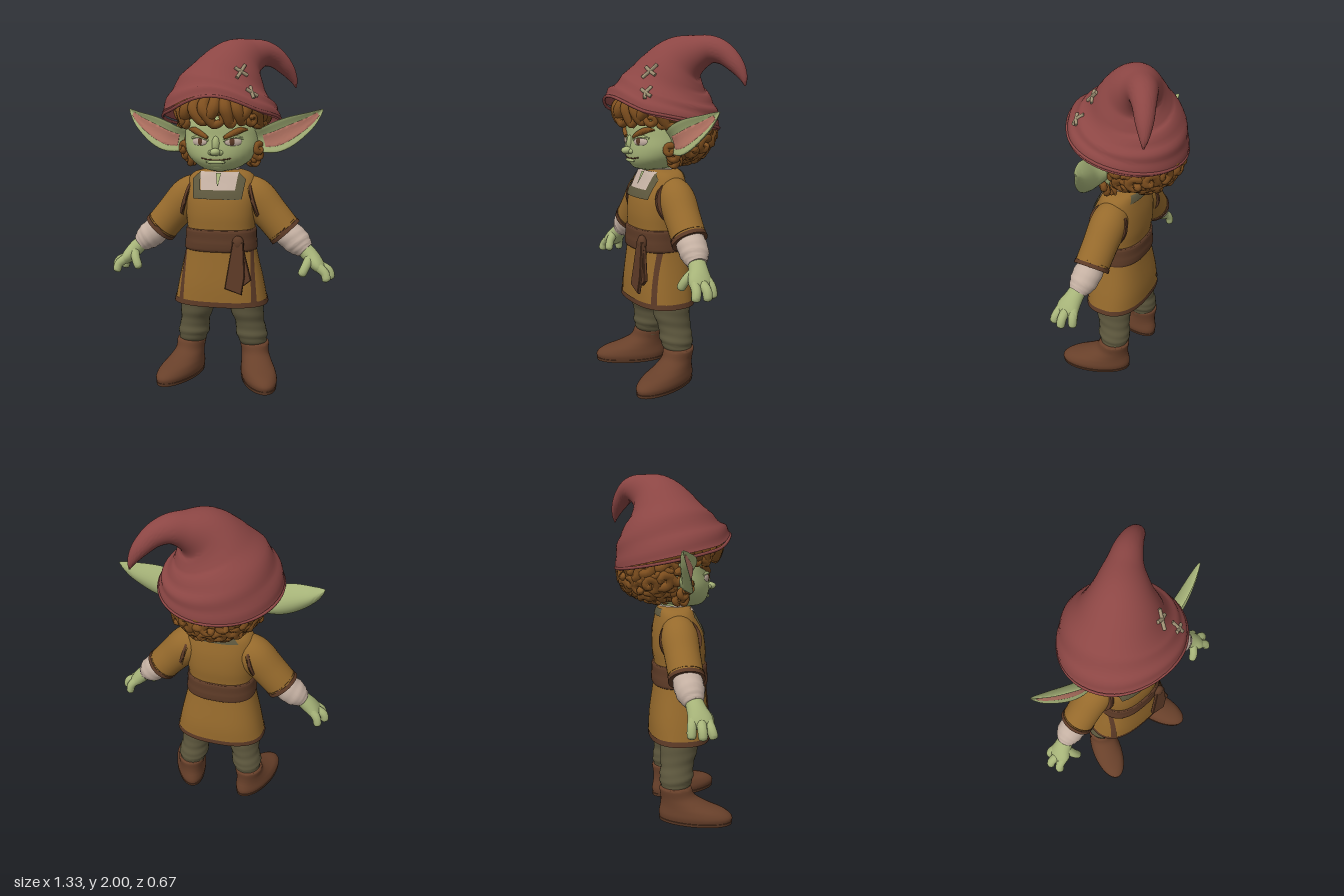
import * as THREE from 'three';
import { toCreasedNormals } from 'three/addons/utils/BufferGeometryUtils.js';

const V = (x, y, z) => new THREE.Vector3(x, y, z);
const X = V(1, 0, 0), Y = V(0, 1, 0), Z = V(0, 0, 1);
const mat = (name, color, side = THREE.FrontSide) => {
  const m = new THREE.MeshStandardMaterial({ color, side });
  m.name = name;
  return m;
};
const round = a => [Math.cos(a), Math.sin(a)];
const boxy = a => round(a).map(c => Math.sign(c) * Math.abs(c) ** 0.8);

// Skin over cross-sections; each row is [x, y, z, radius along ref, other radius]; flat keeps rings level
function loft(rows, { seg = 20, steps = 24, ref = X, sec = round, cap = true, flat = false, bump = () => 1 } = {}) {
  const path = new THREE.CatmullRomCurve3(rows.map(r => V(r[0], r[1], r[2])), false, 'catmullrom');
  const radii = new THREE.CatmullRomCurve3(rows.map(r => V(r[3], r[4] ?? r[3], 0)), false, 'catmullrom');
  const pos = [], idx = [];
  let u = ref.clone();
  for (let i = 0; i <= steps; i++) {
    const k = i / steps, c = path.getPoint(k), t = flat ? Y : path.getTangent(k), r = radii.getPoint(k);
    u = u.clone().addScaledVector(t, -u.dot(t)).normalize();
    const v = t.clone().cross(u);
    for (let j = 0; j < seg; j++) {
      const a = j / seg * Math.PI * 2, [p, q] = sec(a), b = bump(k, a);
      const w = c.clone().addScaledVector(u, p * r.x * b).addScaledVector(v, q * r.y * b);
      pos.push(w.x, w.y, w.z);
      if (i < steps) {
        const n = (j + 1) % seg, A = i * seg;
        idx.push(A + j, A + n, A + seg + j, A + n, A + seg + n, A + seg + j);
      }
    }
  }
  if (cap) {
    const e = pos.length / 3, L = steps * seg;
    for (const k of [0, 1]) pos.push(...path.getPoint(k).toArray());
    for (let j = 0; j < seg; j++) {
      const n = (j + 1) % seg;
      idx.push(e, n, j, e + 1, L + j, L + n);
    }
  }
  const g = new THREE.BufferGeometry();
  g.setAttribute('position', new THREE.Float32BufferAttribute(pos, 3));
  g.setIndex(idx);
  return toCreasedNormals(g, 1.0);
}

const ray = new THREE.Raycaster();
function hit(target, x, y, dir = 1) {
  ray.set(V(x, y, 5 * dir), V(0, 0, -dir));
  const h = ray.intersectObject(target)[0];
  return h ? h.point.z : 0.08 * dir;
}
// Thin plate laid on a surface; corners: bottom left, bottom right, top right, top left
function drape(target, [a, b, c, d], off = 0.006, dir = 1, n = 8) {
  const g = new THREE.PlaneGeometry(1, 1, n, n), p = g.attributes.position;
  for (let i = 0; i < p.count; i++) {
    const u = p.getX(i) + 0.5, v = p.getY(i) + 0.5;
    const [x, y] = [0, 1].map(k => (a[k] * (1 - u) + b[k] * u) * (1 - v) + (d[k] * (1 - u) + c[k] * u) * v);
    p.setXYZ(i, x, y, hit(target, x, y, dir) + off * dir);
  }
  g.computeVertexNormals();
  return g;
}

export function createModel() {
  const D = THREE.DoubleSide;
  const hatRed = mat('hatRed', 0x8c4644, D), ochre = mat('tunicOchre', 0x966a2c, D);
  const brown = mat('trimBrown', 0x5c3a26, D), skin = mat('skinGreen', 0xa7b479);
  const cream = mat('shirtCream', 0xc4b0a2, D), hairC = mat('hairBrown', 0x80501f);
  const olive = mat('trouserOlive', 0x5e583e, D), boot = mat('bootLeather', 0x68402a);
  const pink = mat('innerEarPink', 0xc07c6a), thread = mat('threadBeige', 0x9f9174);
  const model = new THREE.Group();
  const add = (name, geo, m, parent = model) => {
    const o = new THREE.Mesh(geo, m);
    o.name = name;
    parent.add(o);
    return o;
  };
  const ball = (name, m, p, s, parent) => {
    const o = add(name, new THREE.SphereGeometry(1, 18, 12), m, parent);
    o.position.set(...p);
    o.scale.set(...s);
    return o;
  };

  // Tunic, hem and belt
  const cloth = { seg: 40, steps: 40, sec: boxy, cap: false, flat: true };
  const tunic = add('tunic', loft([
    [0, 0.47, 0.035, 0.275, 0.175], [0, 0.6, 0.035, 0.25, 0.172], [0, 0.8, 0.04, 0.205, 0.15],
    [0, 0.9, 0.04, 0.197, 0.148], [0, 1.0, 0.035, 0.205, 0.155], [0, 1.1, 0.028, 0.21, 0.145],
    [0, 1.185, 0.015, 0.2, 0.117], [0, 1.23, 0.01, 0.165, 0.1], [0, 1.25, 0.01, 0.1, 0.086]], cloth), ochre);
  add('hemTrim', loft([[0, 0.467, 0.035, 0.28, 0.18], [0, 0.497, 0.035, 0.274, 0.179]], { ...cloth, steps: 2 }), brown);
  add('belt', loft([[0, 0.785, 0.04, 0.205, 0.15], [0, 0.795, 0.04, 0.213, 0.162], [0, 0.83, 0.04, 0.211, 0.165],
    [0, 0.86, 0.04, 0.208, 0.162], [0, 0.905, 0.04, 0.206, 0.16], [0, 0.915, 0.04, 0.195, 0.147]], cloth), brown);
  for (const [name, pts, z] of [
    ['sashTailShort', [[0.1, 0.82], [0.15, 0.83], [0.2, 0.64], [0.165, 0.61]], 0.25],
    ['sashTailLong', [[0.1, 0.85], [0.155, 0.85], [0.165, 0.66], [0.15, 0.56], [0.06, 0.59]], 0.264]]) {
    const shape = new THREE.Shape(pts.map(p => new THREE.Vector2(...p)));
    const tail = add(name, new THREE.ExtrudeGeometry(shape, { depth: 0.014, bevelSize: 0.004, bevelThickness: 0.004, bevelSegments: 1 }), brown);
    tail.position.z = z;
    tail.rotation.x = -0.08;
  }
  ball('sashKnot', brown, [0.125, 0.845, 0.193], [0.034, 0.043, 0.026]);

  // Neckline and collar
  add('shirtFront', drape(tunic, [[-0.1, 1.135], [0.1, 1.135], [0.112, 1.24], [-0.112, 1.24]], 0.007), cream);
  add('necklineBottom', drape(tunic, [[-0.14, 1.09], [0.14, 1.09], [0.1, 1.14], [-0.1, 1.14]], 0.009), olive);
  add('necklineBack', drape(tunic, [[0.13, 1.2], [-0.13, 1.2], [-0.1, 1.24], [0.1, 1.24]], 0.006, -1), olive);
  add('collar', loft([[0, 1.2, 0.008, 0.125, 0.095], [0, 1.225, 0.01, 0.112, 0.093], [0, 1.257, 0.012, 0.104, 0.09]],
    { cap: false, flat: true }), cream);
  add('shirtNotch', drape(tunic, [[-0.003, 1.165], [0.003, 1.165], [0.015, 1.235], [-0.015, 1.235]], 0.016), skin);
  add('neck', loft([[0, 1.12, 0.01, 0.075], [0, 1.32, 0.015, 0.08]], { steps: 4 }), skin);

  // Head and face
  const head = add('head', loft([
    [0, 1.243, 0.08, 0.03, 0.04], [0, 1.262, 0.065, 0.105, 0.11], [0, 1.31, 0.04, 0.175, 0.168],
    [0, 1.37, 0.02, 0.212, 0.193], [0, 1.44, 0.01, 0.218, 0.195], [0, 1.52, 0, 0.212, 0.2],
    [0, 1.62, -0.01, 0.17, 0.165], [0, 1.69, -0.01, 0.05, 0.05]], { seg: 36, steps: 36, flat: true }), skin);
  ball('noseBridge', skin, [0, 1.4, 0.196], [0.024, 0.05, 0.028]);
  ball('noseTip', skin, [0, 1.36, 0.224], [0.029, 0.022, 0.034]);
  ball('chin', skin, [0, 1.277, 0.15], [0.06, 0.024, 0.036]);
  ball('lowerLip', skin, [0, 1.303, hit(head, 0, 1.303)], [0.055, 0.011, 0.01]);
  const mouth = [[-0.085, 1.325], [-0.05, 1.318], [0, 1.316], [0.05, 1.318], [0.085, 1.325]];
  add('mouth', loft(mouth.map(([x, y]) => [x, y, hit(head, x, y), 0.0035]), { ref: Z, seg: 8 }), brown);

  // Cupped ear section, top edge leaning forward; the pink lining follows the same hollow
  const hollow = v => 1.7 * v * v - 0.7 * v - 0.6;
  const earSec = s => a => [Math.cos(a) + hollow(s * Math.sin(a)), Math.sin(a)];
  const innerSec = s => a => {
    const v = 0.5 * Math.sin(a) + 0.08 * s;
    return [Math.sqrt(1 - v * v) + hollow(s * v) + 0.22 * Math.cos(a), v];
  };
  for (const s of [1, -1]) {
    const side = s > 0 ? 'left' : 'right';
    const g = new THREE.Group();
    g.name = side + 'Side';
    model.add(g);
    const part = (name, rows, m, opt = {}) =>
      add(side + name, loft(rows.map(([x, ...r]) => [x * s, ...r]), { ref: Z, ...opt }), m, g);

    // Eye and brow
    ball(side + 'Nostril', skin, [s * 0.026, 1.356, 0.206], [0.018, 0.015, 0.02], g);
    ball(side + 'Eye', cream, [s * 0.095, 1.415, hit(head, 0.095, 1.415) - 0.006], [0.05, 0.027, 0.014], g).rotation.y = s * 0.45;
    ball(side + 'Iris', brown, [s * 0.09, 1.416, hit(head, 0.09, 1.416) + 0.004], [0.018, 0.021, 0.007], g).rotation.y = s * 0.4;
    const onFace = (x, y, r, o = 0) => [x, y, hit(head, x, y) + o, r];
    part('UpperLid', [onFace(0.043, 1.422, 0.006), onFace(0.09, 1.443, 0.011, 0.002), onFace(0.146, 1.434, 0.006)], skin);
    part('Brow', [onFace(0.045, 1.437, 0.009, 0.004), onFace(0.08, 1.455, 0.016, 0.004),
      onFace(0.13, 1.479, 0.017, 0.003), onFace(0.168, 1.482, 0.004)], hairC);

    // Ear
    const ear = [[0.18, 1.415, 0.035, 0.02, 0.06], [0.25, 1.42, 0.045, 0.024, 0.072], [0.32, 1.437, 0.045, 0.025, 0.085],
      [0.4, 1.475, 0.028, 0.024, 0.078], [0.49, 1.525, 0, 0.018, 0.05], [0.545, 1.567, -0.02, 0.01, 0.023],
      [0.573, 1.592, -0.03, 0.003, 0.004]];
    part('Ear', ear, skin, { sec: earSec(s), seg: 28 });
    part('InnerEar', ear.slice(1, 6), pink, { sec: innerSec(s), seg: 28 });

    // Neckline side and skirt slit
    const strip = (name, q, m, off) =>
      add(side + name, drape(tunic, s > 0 ? q : [1, 0, 3, 2].map(i => [-q[i][0], q[i][1]]), off), m, g);
    strip('NecklineSide', [[0.1, 1.135], [0.14, 1.09], [0.155, 1.2], [0.112, 1.24]], olive, 0.01);
    strip('SlitTrim', [[0.202, 0.475], [0.232, 0.475], [0.201, 0.79], [0.186, 0.79]], brown, 0.005);

    // Sleeve and arm
    part('Sleeve', [[0.12, 1.125, 0.01, 0.09, 0.1], [0.2, 1.085, 0.012, 0.105, 0.113], [0.29, 0.99, 0.018, 0.1, 0.104],
      [0.375, 0.89, 0.025, 0.098, 0.1]], ochre, { seg: 28 });
    part('ShoulderSeam', [[0.19, 1.07, 0.018, 0.122, 0.13], [0.21, 1.076, 0.018, 0.12, 0.128]], brown, { steps: 2, seg: 28 });
    part('SleeveCuff', [[0.358, 0.909, 0.025, 0.102, 0.104], [0.38, 0.885, 0.025, 0.103, 0.104]], brown, { steps: 2, seg: 28 });
    part('ShirtSleeve', [[0.33, 0.94, 0.02, 0.075], [0.4, 0.875, 0.028, 0.082], [0.45, 0.832, 0.035, 0.079],
      [0.48, 0.805, 0.042, 0.064], [0.497, 0.79, 0.046, 0.052]], cream,
    { bump: (k, a) => 1 + 0.02 * Math.sin(k * 28 + 2 * Math.sin(a)) });

    // Hand
    part('Palm', [[0.475, 0.81, 0.042, 0.046, 0.044], [0.525, 0.76, 0.055, 0.055, 0.046], [0.565, 0.715, 0.068, 0.068, 0.04],
      [0.59, 0.688, 0.07, 0.054, 0.028], [0.6, 0.677, 0.07, 0.01, 0.006]], skin);
    [[[0.56, 0.725, 0.03], [0.595, 0.685, 0.017], [0.607, 0.638, 0.014]],
      [[0.58, 0.71, 0.068], [0.63, 0.683, 0.066], [0.644, 0.64, 0.068]],
      [[0.57, 0.71, 0.105], [0.612, 0.675, 0.118], [0.622, 0.637, 0.128]],
      [[0.525, 0.76, 0.08], [0.505, 0.715, 0.12], [0.483, 0.668, 0.138]]].forEach(([a, b, c], i) => {
      const tip = c.map((v, k) => v + (c[k] - b[k]) * 0.25);
      part(i < 3 ? 'Finger' + (i + 1) : 'Thumb', [[...a, 0.028], [...b, 0.026], [...c, 0.023], [...tip, 0.003]], skin, { seg: 12, steps: 14 });
    });

    // Trouser leg
    part('TrouserLeg', [[0.19, 0.17, -0.01, 0.075, 0.07], [0.186, 0.205, -0.008, 0.08, 0.085], [0.178, 0.26, -0.002, 0.094, 0.099],
      [0.168, 0.33, 0.004, 0.087, 0.097], [0.152, 0.41, 0.016, 0.1, 0.109], [0.143, 0.5, 0.022, 0.106, 0.113],
      [0.12, 0.62, 0.03, 0.095, 0.1]], olive,
    { ref: X, flat: true, seg: 24, steps: 36, bump: (k, a) => 1 + 0.035 * (1 - k) * Math.sin(k * 45 + 2 * Math.sin(a)) });

    // Boot, toes turned outward
    const foot = new THREE.Group();
    foot.name = side + 'Boot';
    foot.position.set(s * 0.195, 0, -0.01);
    foot.rotation.y = s * 0.35;
    g.add(foot);
    const sole = { seg: 32, flat: true };
    add('bootUpper', loft([[0, 0.01, 0.119, 0.092, 0.212], [0, 0.045, 0.119, 0.1, 0.218], [0, 0.08, 0.1, 0.095, 0.194],
      [0, 0.11, 0.058, 0.087, 0.146], [0, 0.15, 0.016, 0.081, 0.104], [0, 0.2, 0, 0.086, 0.094], [0, 0.21, 0, 0.074, 0.08]],
    sole), boot, foot);
    add('bootSole', loft([[0, 0, 0.119, 0.095, 0.215], [0, 0.018, 0.119, 0.099, 0.218]], { ...sole, steps: 1 }), brown, foot);
  }

  // Hair: base masses covered with spiral curls
  const hair = new THREE.Group();
  hair.name = 'hair';
  model.add(hair);
  ball('hairMass', hairC, [0, 1.46, -0.075], [0.222, 0.185, 0.21], hair);
  ball('hairUnderHat', hairC, [0, 1.555, -0.01], [0.29, 0.07, 0.27], hair).rotation.x = -0.25;
  const curl = (p, n, r, turn) => {
    const rows = [0, 1, 2, 3, 4, 5, 6].map(i => {
      const a = turn + i * 1.25, q = r * (1.15 - i * 0.16);
      return [Math.cos(a) * q, Math.sin(a) * q, i * r * 0.08, r * (i < 1 ? 0.15 : i > 5 ? 0.3 : 0.58)];
    });
    const o = add('curl', loft(rows, { ref: Z, seg: 8, steps: 18 }), hairC, hair);
    o.position.copy(p);
    o.lookAt(p.clone().add(n));
  };
  for (let i = 0; i < 120; i++) {
    const y = 1 - (i + 0.5) / 60, a = i * 2.39996, r = Math.sqrt(1 - y * y);
    const n = V(r * Math.cos(a), y, r * Math.sin(a));
    const p = V(n.x * 0.222, 1.455 + n.y * 0.162, -0.075 + n.z * 0.218);
    if (p.y < 1.58 && p.z < 0 && n.y > -0.95) curl(p, n, 0.044 + 0.006 * Math.sin(i * 7), i * 1.7);
  }
  // Curls beside the face
  for (const s of [1, -1]) {
    [[0.21, 1.52, 0.1], [0.19, 1.54, 0.16], [0.23, 1.5, 0.04], [0.215, 1.37, 0.06], [0.21, 1.34, 0.03], [0.19, 1.31, 0.03], [0.165, 1.295, 0]]
      .forEach(([x, y, z], i) => curl(V(s * x, y, z), V(s, 0, 0.8), 0.032, i * 2));
  }
  // Fringe locks hooked at the ends
  for (let i = -5; i <= 5; i++) {
    const f = i * 0.25, d = (i % 3 ? 1 : -1) * (0.14 + 0.05 * Math.sin(i * 5)), low = 1.53 + 0.025 * Math.cos(i * 2.3);
    const at = (a, R, y, r) => [Math.sin(a) * R * 0.95, y, Math.cos(a) * R, r];
    add('fringeLock', loft([at(f, 0.22, 1.65, 0.03), at(f, 0.258, 1.605, 0.036), at(f + d * 0.5, 0.262, 1.565, 0.033),
      at(f + d * 1.3, 0.25, low, 0.026), at(f + d * 2.3, 0.253, low + 0.018, 0.019), at(f + d * 2, 0.263, low + 0.05, 0.006)],
    { seg: 10, steps: 20 }), hairC, hair);
  }

  // Floppy hat with folds, a brim peaked at the front, and stitches
  const peak = z => 0.06 * (Math.max(0, z - 0.2) / 0.13) ** 2;
  const hatRows = [[-0.005, 1.538, 0, 0.347, 0.338], [0, 1.62, -0.018, 0.325, 0.318], [0.012, 1.7, -0.035, 0.28, 0.273],
    [0.04, 1.785, -0.055, 0.215, 0.205], [0.085, 1.86, -0.095, 0.158, 0.148], [0.145, 1.9, -0.15, 0.105, 0.1],
    [0.21, 1.917, -0.2, 0.077, 0.077], [0.28, 1.89, -0.245, 0.06, 0.06], [0.34, 1.83, -0.28, 0.045, 0.045],
    [0.378, 1.77, -0.3, 0.025, 0.025], [0.395, 1.72, -0.305, 0.004, 0.004]];
  const hatGeo = loft(hatRows, {
    seg: 48, steps: 60, cap: false,
    bump: (k, a) => 1 + 0.02 * Math.sin(k * 42 + 1.5 * Math.sin(a + 0.6)) * Math.min(1, k * 12) * (1 - k),
  });
  const hp = hatGeo.attributes.position;
  for (let i = 0; i < hp.count; i++) hp.setY(i, hp.getY(i) + peak(hp.getZ(i)));
  const hat = add('hat', hatGeo, hatRed);
  const brim = Array.from({ length: 40 }, (_, i) => {
    const [c, q] = round(i / 20 * Math.PI), z = q * 0.328;
    return V(-0.005 + c * 0.343, 1.538 + 0.21 * z + peak(z), z);
  });
  add('hatRim', new THREE.TubeGeometry(new THREE.CatmullRomCurve3(brim, true), 80, 0.009, 8, true), hatRed);
  for (const [x, y, size] of [[0.13, 1.8, 1], [0.2, 1.685, 0.85]]) {
    for (const [dx, dy] of [[0.034, -0.022], [0.016, 0.036]]) {
      const flip = size < 1 && dy > 0 ? -1 : 1;
      const row = k => {
        const px = x + dx * k * size * flip, py = y + dy * k * size;
        return [px, py, hit(hat, px, py) + 0.007, 0.01];
      };
      add('hatStitch', loft([row(-1), row(0), row(1)], { ref: Z, seg: 8, steps: 8 }), thread);
    }
  }
  return model;
}
